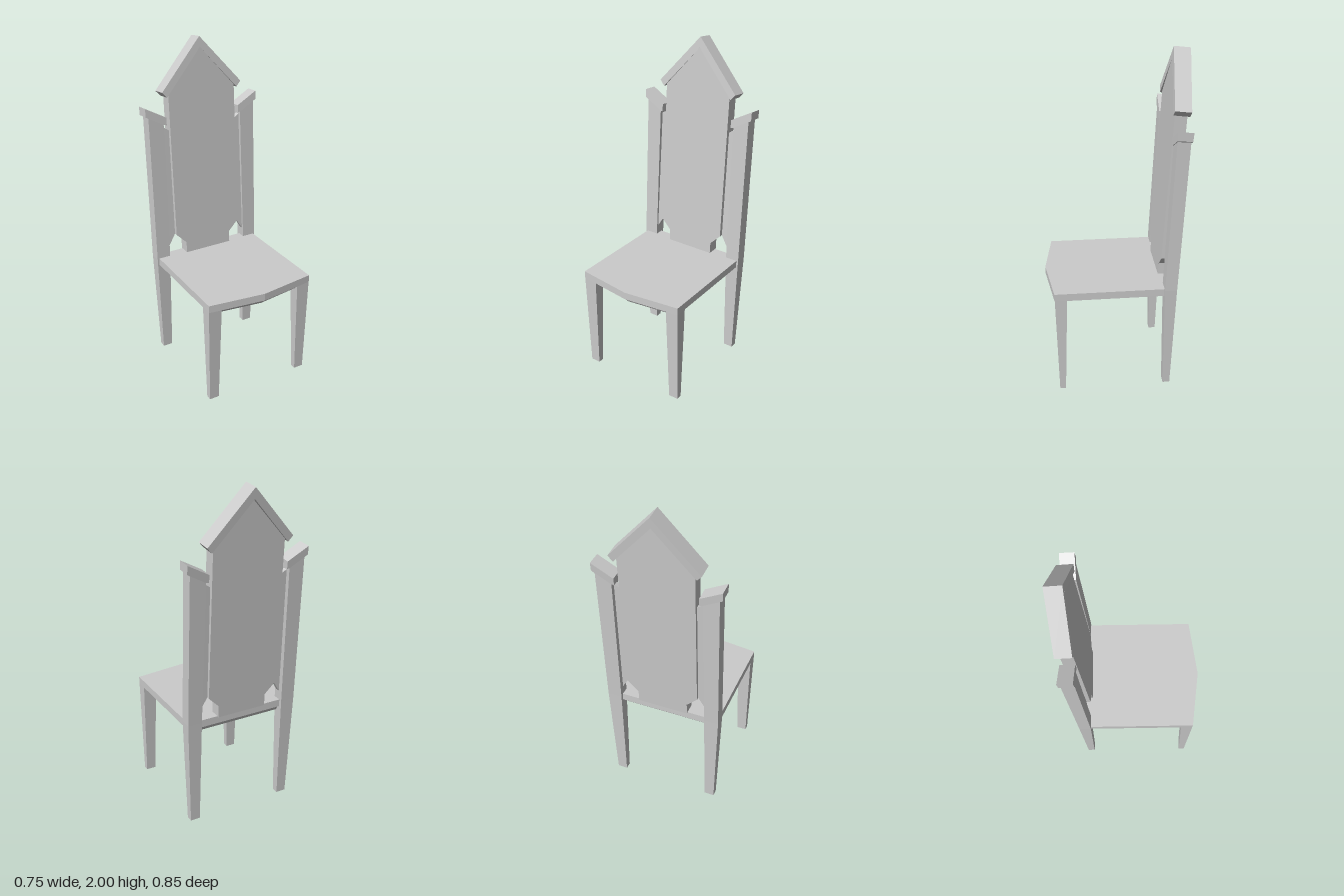
import * as THREE from 'three';

const material = new THREE.MeshStandardMaterial({ color: 0xcccccc, flatShading: true });

const makeShape = (points) => new THREE.Shape(points.map(([x, y]) => new THREE.Vector2(x, y)));

function finish(geometry, name) {
  geometry.computeVertexNormals();
  const mesh = new THREE.Mesh(geometry, material);
  mesh.name = name;
  return mesh;
}

// Front outline given depth; front and back faces lean linearly from height y0 to y1.
// lean = { y: [y0, y1], front: [z0, z1], back: [z0, z1], drop: lowering of the back face }
function leaningSlab(name, points, { y, front, back, drop = 0 }) {
  const geometry = new THREE.ExtrudeGeometry(makeShape(points), { depth: 1, bevelEnabled: false });
  const p = geometry.attributes.position;
  for (let i = 0; i < p.count; i++) {
    const t = (p.getY(i) - y[0]) / (y[1] - y[0]);
    const isFront = p.getZ(i) > 0.5;
    const [a, b] = isFront ? front : back;
    p.setZ(i, a + (b - a) * t);
    if (!isFront) p.setY(i, p.getY(i) - drop);
  }
  return finish(geometry, name);
}

// Plan outline (x, z) going down from top by height; the lower rim shrinks by sx, sz.
function plate(name, points, top, height, sx = 1, sz = 1) {
  const geometry = new THREE.ExtrudeGeometry(makeShape(points), { depth: height, bevelEnabled: false });
  geometry.rotateX(Math.PI / 2);
  const p = geometry.attributes.position;
  for (let i = 0; i < p.count; i++) {
    if (p.getY(i) < -height / 2) {
      p.setX(i, p.getX(i) * sx);
      p.setZ(i, p.getZ(i) * sz);
    }
  }
  geometry.translate(0, top, 0);
  return finish(geometry, name);
}

export function createModel() {
  const chair = new THREE.Group();
  chair.name = 'chair';

  // Seat with a pointed front edge and a bevelled apron below
  chair.add(plate('seat',
    [[-0.343, -0.31], [0.343, -0.31], [0.343, 0.38], [0, 0.425], [-0.343, 0.38]], 0.665, 0.045));
  chair.add(plate('apron',
    [[-0.32, -0.295], [0.32, -0.295], [0.32, 0.37], [0, 0.412], [-0.32, 0.37]], 0.62, 0.036, 0.87, 0.94));

  // Central back panel with gabled top and narrow foot
  const half = [[0.155, 0.66], [0.155, 0.735], [0.22, 0.8], [0.22, 1.7]];
  const mirrored = half.map(([x, y]) => [-x, y]).reverse();
  chair.add(leaningSlab('backPanel', [...half, [0, 1.94], ...mirrored],
    { y: [0.67, 1.66], front: [-0.247, -0.305], back: [-0.318, -0.375] }));

  // Gable rail over the panel
  chair.add(leaningSlab('gable',
    [[0, 2], [-0.262, 1.708], [-0.233, 1.676], [0, 1.937], [0.233, 1.676], [0.262, 1.708]],
    { y: [1.69, 2], front: [-0.297, -0.328], back: [-0.39, -0.424], drop: 0.011 }));

  for (const [side, s] of [['left', 1], ['right', -1]]) {
    const flip = (points) => points.map(([x, y]) => [s * x, y]);

    // Tapered legs
    chair.add(leaningSlab(side + 'FrontLeg',
      flip([[0.275, 0], [0.335, 0], [0.343, 0.622], [0.26, 0.622]]),
      { y: [0, 0.622], front: [0.365, 0.379], back: [0.33, 0.308] }));
    chair.add(leaningSlab(side + 'BackLeg',
      flip([[0.275, 0], [0.335, 0], [0.355, 0.66], [0.268, 0.66]]),
      { y: [0, 0.66], front: [-0.265, -0.259], back: [-0.307, -0.33] }));

    // Back post continuing up from the rear leg, with a slanted cap
    chair.add(leaningSlab(side + 'Post',
      flip([[0.268, 0.66], [0.355, 0.66], [0.355, 1.585], [0.26, 1.535]]),
      { y: [0.66, 1.56], front: [-0.259, -0.3], back: [-0.33, -0.375] }));
    chair.add(leaningSlab(side + 'PostCap',
      flip([[0.243, 1.512], [0.243, 1.557], [0.373, 1.628], [0.373, 1.578], [0.26, 1.515]]),
      { y: [1.51, 1.63], front: [-0.292, -0.301], back: [-0.374, -0.386], drop: 0.007 }));

    // Thin filler between post and panel
    chair.add(leaningSlab(side + 'Filler',
      flip([[0.215, 0.806], [0.22, 0.8], [0.268, 0.72], [0.268, 1.5], [0.215, 1.465]]),
      { y: [0.72, 1.5], front: [-0.274, -0.318], back: [-0.302, -0.346] }));
  }
  return chair;
}
